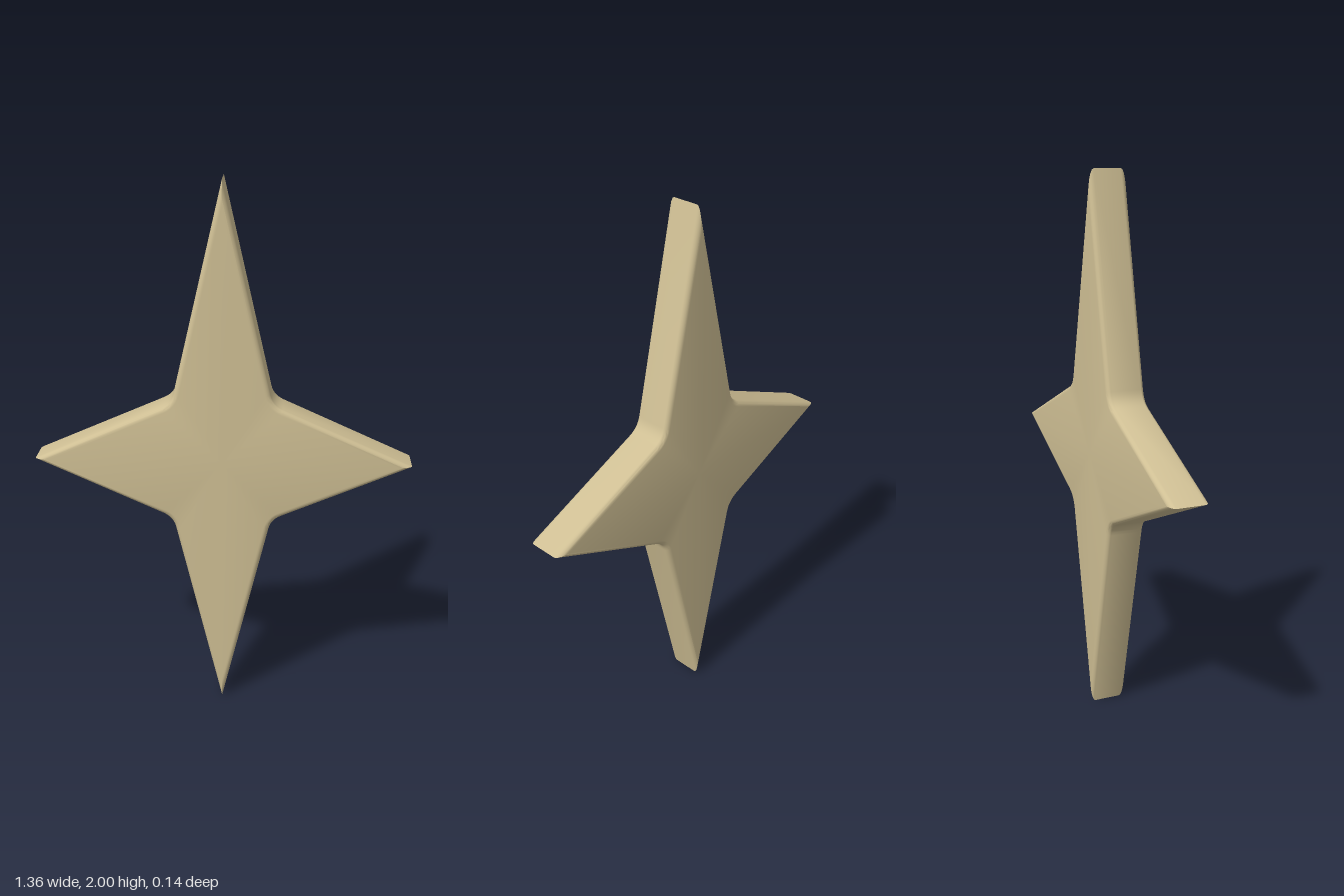
import * as THREE from 'three';
import { toCreasedNormals } from 'three/addons/utils/BufferGeometryUtils.js';

const HALF_DEPTH = 0.07;
const BEVEL = 0.02;
const BEVEL_STEPS = 5;

// Four-pointed outline about the origin, counter-clockwise, with rounded inner corners.
function starOutline() {
  const inner = new THREE.QuadraticBezierCurve(
    new THREE.Vector2(0.215, 0.208),
    new THREE.Vector2(0.18, 0.224),
    new THREE.Vector2(0.171, 0.262)
  ).getPoints(6);
  const mirrored = inner.map((p) => new THREE.Vector2(-p.x, p.y)).reverse();
  const half = [new THREE.Vector2(0.68, 0), ...inner, new THREE.Vector2(0, 1), ...mirrored];
  return [...half, ...half.map((p) => p.clone().negate())];
}

// Moves every side of the outline inwards by d, keeping the points mitred.
function inset(points, d) {
  const n = points.length;
  const normal = (a, b) => new THREE.Vector2(b.y - a.y, a.x - b.x).normalize();
  return points.map((p, i) => {
    const n0 = normal(points[(i + n - 1) % n], p);
    const n1 = normal(p, points[(i + 1) % n]);
    const miter = n0.clone().add(n1).divideScalar(1 + n0.dot(n1));
    return p.clone().addScaledVector(miter, -d);
  });
}

// Rings from back to front: rounded edge, straight wall, rounded edge.
function starGeometry() {
  const outline = starOutline();
  const n = outline.length;
  const rings = [];
  for (const side of [-1, 1]) {
    for (let s = 0; s <= BEVEL_STEPS; s++) {
      const t = side < 0 ? s : BEVEL_STEPS - s;
      const angle = (t / BEVEL_STEPS) * Math.PI / 2;
      const z = side * (HALF_DEPTH - BEVEL * (1 - Math.cos(angle)));
      rings.push({ z, points: inset(outline, BEVEL * (1 - Math.sin(angle))) });
    }
  }

  const positions = [];
  const index = [];
  for (const { z, points } of rings) {
    for (const p of points) positions.push(p.x, p.y + 1, z);
  }
  for (let r = 0; r < rings.length - 1; r++) {
    for (let j = 0; j < n; j++) {
      const a = r * n + j;
      const b = r * n + (j + 1) % n;
      index.push(a, b, b + n, a, b + n, a + n);
    }
  }

  // Flat back and front faces, fanned from the centre.
  const back = positions.length / 3;
  const front = back + 1;
  positions.push(0, 1, -HALF_DEPTH, 0, 1, HALF_DEPTH);
  const last = (rings.length - 1) * n;
  for (let j = 0; j < n; j++) {
    const k = (j + 1) % n;
    index.push(back, k, j, front, last + j, last + k);
  }

  const geometry = new THREE.BufferGeometry();
  geometry.setAttribute('position', new THREE.Float32BufferAttribute(positions, 3));
  geometry.setIndex(index);
  return toCreasedNormals(geometry, 0.6);
}

export function createModel() {
  const gold = new THREE.MeshStandardMaterial({ color: 0xcfbf94 });
  gold.name = 'pale gold';

  const star = new THREE.Mesh(starGeometry(), gold);
  star.name = 'fourPointedStar';

  const group = new THREE.Group();
  group.name = 'starOrnament';
  group.add(star);
  return group;
}
